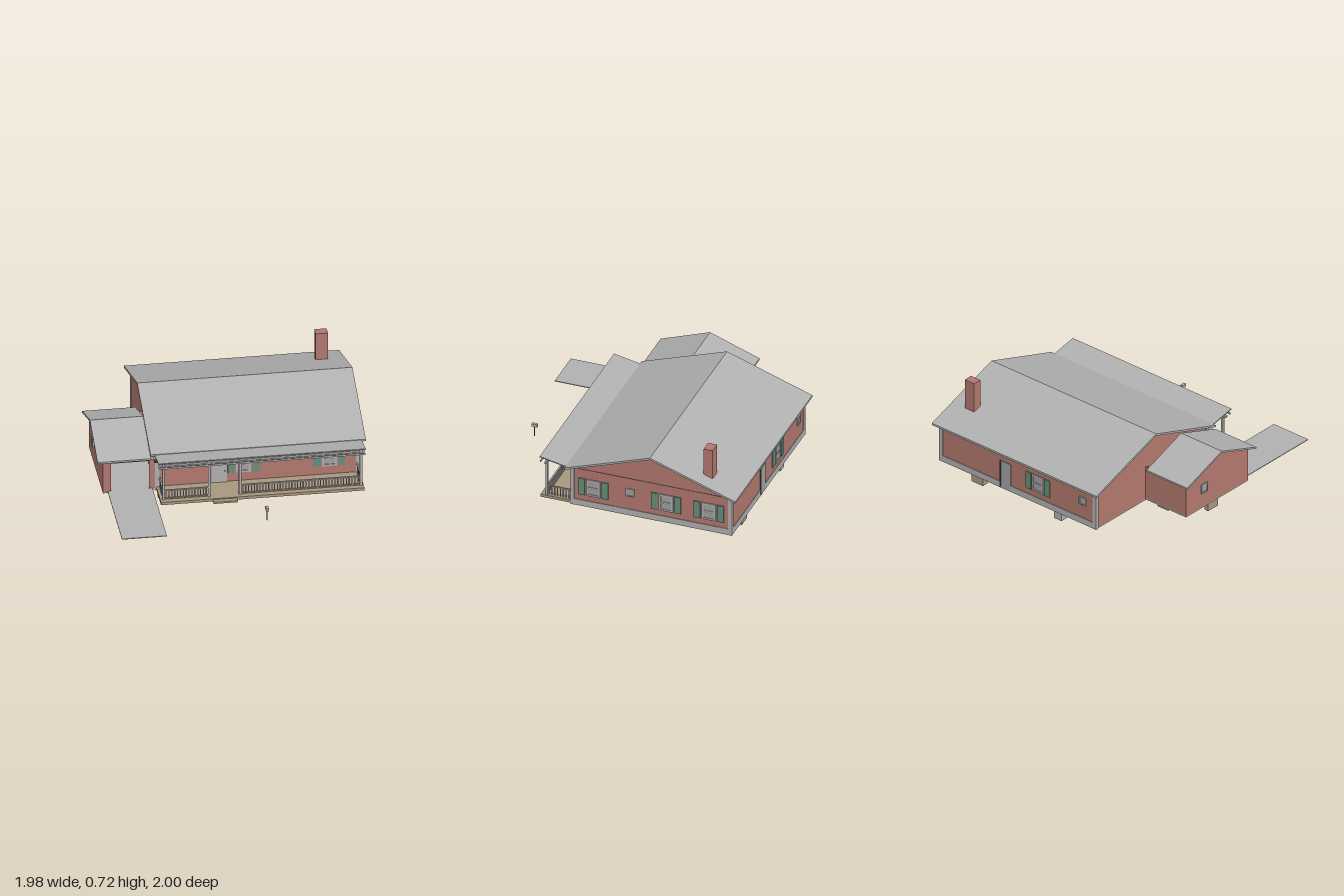
import * as THREE from 'three';

const mat = (name, color, side = THREE.FrontSide) => {
  const m = new THREE.MeshStandardMaterial({ color, side });
  m.name = name;
  return m;
};

export function createModel() {
  const house = new THREE.Group();
  house.name = 'house';
  const brick = mat('brick', 0xb2786e);
  const grey = mat('grey', 0xb0b0b0);
  const pane = mat('pane', 0xa2a2a2);
  const wood = mat('wood', 0xa8977e);
  const green = mat('green', 0x65907a);
  const dark = mat('dark', 0x4a4a4a);

  // box given by its limits on each axis
  const box = (name, m, x0, x1, y0, y1, z0, z1, parent = house) => {
    const mesh = new THREE.Mesh(new THREE.BoxGeometry(x1 - x0, y1 - y0, z1 - z0), m);
    mesh.position.set((x0 + x1) / 2, (y0 + y1) / 2, (z0 + z1) / 2);
    mesh.name = name;
    parent.add(mesh);
    return mesh;
  };
  // section drawn in (z, y), extruded along x
  const section = (name, m, pts, x0, x1) => {
    const shape = new THREE.Shape(pts.map(p => new THREE.Vector2(p[0], p[1])));
    const g = new THREE.ExtrudeGeometry(shape, { depth: x1 - x0, bevelEnabled: false });
    g.rotateY(-Math.PI / 2).translate(x1, 0, 0);
    const mesh = new THREE.Mesh(g, m);
    mesh.name = name;
    house.add(mesh);
  };
  const gableRoof = (name, x0, x1, zf, zr, zb, eave, ridge, t) => section(name, grey, [
    [zf, eave], [zr, ridge], [zb, eave], [zb, eave - t], [zr, ridge - t], [zf, eave - t]], x0, x1);

  // main body with gable ends
  section('mainWalls', brick, [[0.29, 0.095], [0.29, 0.4], [-0.335, 0.618], [-0.955, 0.4], [-0.955, 0.095]], -0.555, 0.945);
  box('mainFloor', grey, -0.555, 0.945, 0.088, 0.096, -0.955, 0.29);
  gableRoof('mainRoof', -0.6, 0.985, 0.33, -0.335, -1, 0.408, 0.637, 0.016);
  box('chimney', brick, 0.77, 0.86, 0.45, 0.725, -0.777, -0.707);

  // foundation band and corner boards
  box('rightBaseBand', grey, 0.94, 0.95, 0.09, 0.14, -0.958, 0.293);
  box('backBaseBand', grey, -0.558, 0.95, 0.09, 0.14, -0.96, -0.95);
  for (const z of [[0.268, 0.297], [-0.961, -0.932]]) {
    box('rightCornerBoard', grey, 0.918, 0.952, 0.09, 0.4, ...z);
    box('leftCornerBoard', grey, -0.562, -0.53, 0.09, 0.4, ...z);
  }
  box('gableLine', dark, 0.944, 0.9475, 0.4, 0.403, -0.95, 0.285);

  // garage with an open front
  section('garageGable', brick, [[0.29, 0.1], [0.29, 0.37], [-0.055, 0.498], [-0.4, 0.37], [-0.4, 0.1]], -0.945, -0.93);
  box('garageBackWall', brick, -0.945, -0.555, 0.1, 0.37, -0.4, -0.385);
  box('garageFrontLeft', brick, -0.605, -0.55, 0.1, 0.37, 0.275, 0.29);
  box('garageFrontRight', brick, -0.945, -0.885, 0.1, 0.37, 0.275, 0.29);
  box('garageHeader', brick, -0.885, -0.605, 0.335, 0.37, 0.275, 0.29);
  box('garageFloor', grey, -0.945, -0.555, 0.092, 0.104, -0.4, 0.29);
  gableRoof('garageRoof', -0.99, -0.598, 0.33, -0.055, -0.44, 0.376, 0.516, 0.014);
  box('garageFascia', grey, -0.945, -0.5, 0.357, 0.38, 0.29, 0.312);
  box('garageTrack', dark, -0.885, -0.605, 0.332, 0.338, 0.05, 0.285);
  box('workbench', wood, -0.8, -0.61, 0.104, 0.225, -0.38, -0.26);
  box('garageLamp', dark, -0.57, -0.55, 0.335, 0.345, 0.29, 0.325);
  box('driveway', grey, -0.91, -0.58, 0.1, 0.106, 0.29, 1);

  // window: frame, pane, sash bars and optional shutters, facing +z before turning
  const windowUnit = (x, y, z, turn, w = 0.11, h = 0.138, shutters = true) => {
    const g = new THREE.Group();
    g.name = 'window';
    g.position.set(x, y, z);
    g.rotation.y = turn;
    const a = w / 2, b = h / 2, f = w * 0.13;
    box('pane', pane, -a, a, -b, b, 0, 0.004, g);
    for (const s of [-1, 1]) {
      box('frameSide', grey, s * (a - f / 2) - f / 2, s * (a - f / 2) + f / 2, -b, b, 0, 0.009, g);
      box('frameRail', grey, -a, a, s * (b - f / 2) - f / 2, s * (b - f / 2) + f / 2, 0, 0.009, g);
      if (shutters) box('shutter', green, s * 0.091 - 0.025, s * 0.091 + 0.025, -b, b, 0, 0.009, g);
    }
    if (shutters) {
      box('sashBar', grey, -a, a, -0.006, 0.006, 0, 0.008, g);
      box('sashShadow', dark, -a + f, a - f, -0.009, -0.006, 0, 0.006, g);
    }
    house.add(g);
  };
  const R = Math.PI / 2;
  for (const x of [0.09, 0.722]) windowUnit(x, 0.257, 0.29, 0);
  for (const z of [0.12, -0.447, -0.78]) windowUnit(0.945, 0.256, z, R);
  windowUnit(0.945, 0.283, -0.167, R, 0.064, 0.064, false);
  windowUnit(0.0, 0.257, -0.955, 2 * R);
  windowUnit(-0.43, 0.283, -0.955, 2 * R, 0.064, 0.064, false);
  windowUnit(-0.945, 0.255, -0.2, -R, 0.07, 0.075, false);

  // doors
  box('frontDoor', grey, -0.145, -0.032, 0.11, 0.322, 0.285, 0.298);
  box('frontDoorKnob', dark, -0.05, -0.043, 0.205, 0.212, 0.298, 0.304);
  box('backDoor', pane, 0.26, 0.36, 0.1, 0.32, -0.962, -0.95);
  box('backDoorEdge', dark, 0.352, 0.362, 0.1, 0.32, -0.965, -0.95);

  // porch: deck, step, posts, railing and outward rising roof
  box('deck', wood, -0.553, 0.945, 0.096, 0.118, 0.29, 0.532);
  box('step', wood, -0.17, 0.01, 0.096, 0.11, 0.53, 0.57);
  section('porchRoof', grey, [[0.3, 0.398], [0.535, 0.445], [0.535, 0.437], [0.3, 0.39]], -0.572, 0.955);
  box('porchBeam', grey, -0.565, 0.952, 0.388, 0.401, 0.478, 0.5);
  box('gutter', grey, -0.565, 0.952, 0.394, 0.408, 0.528, 0.533);
  for (const x of [-0.53, -0.192, 0.035, 0.925]) box('porchPost', grey, x - 0.009, x + 0.009, 0.118, 0.42, 0.481, 0.498);
  const railing = (x0, x1) => {
    box('topRail', grey, x0, x1, 0.189, 0.197, 0.483, 0.495);
    box('bottomRail', wood, x0, x1, 0.122, 0.13, 0.483, 0.495);
    const n = Math.round((x1 - x0) / 0.021);
    for (let i = 1; i < n; i++) {
      const x = x0 + (x1 - x0) * i / n;
      box('baluster', grey, x - 0.004, x + 0.004, 0.128, 0.19, 0.486, 0.492);
    }
  };
  railing(-0.53, -0.192);
  railing(0.035, 0.925);
  for (const x of [-0.53, 0.925]) {
    box('sideRail', grey, x - 0.005, x + 0.005, 0.189, 0.197, 0.295, 0.49);
    for (let z = 0.315; z < 0.48; z += 0.022) box('sideBaluster', grey, x - 0.003, x + 0.003, 0.118, 0.19, z, z + 0.007);
  }

  // mailbox
  box('mailboxPost', dark, 0.176, 0.182, 0.1, 0.186, 0.866, 0.872);
  box('mailbox', grey, 0.168, 0.19, 0.183, 0.206, 0.845, 0.888);

  // furnishings reaching below the floor: [material, x, z, width, depth, bottom]
  const hung = [
    [wood, 0.607, -0.567, 0.115, 0.07, 0.004], [wood, 0.61, -0.9, 0.11, 0.06, 0.01],
    [wood, 0.63, -0.09, 0.09, 0.065, 0.015], [wood, 0.61, -0.33, 0.08, 0.06, 0.015],
    [wood, 0.79, 0.02, 0.06, 0.06, 0.063], [wood, 0.79, -0.65, 0.06, 0.05, 0.065],
    [wood, -0.473, 0.25, 0.125, 0.045, 0.01], [wood, -0.473, 0.015, 0.12, 0.09, 0.01],
    [wood, -0.03, -0.88, 0.3, 0.05, 0.063], [grey, -0.168, -0.9, 0.07, 0.06, 0.01],
    [grey, 0.17, -0.43, 0.07, 0.08, 0.063], [grey, -0.45, -0.49, 0.07, 0.09, 0.06],
    [grey, 0.88, -0.19, 0.08, 0.13, 0.075], [wood, 0.82, 0.13, 0.12, 0.1, 0.084],
    [wood, 0.77, -0.36, 0.14, 0.14, 0.084], [green, -0.18, -0.06, 0.12, 0.14, 0.082],
    [green, -0.3, -0.2, 0.08, 0.08, 0.082], [wood, -0.902, -0.07, 0.036, 0.11, 0.01],
    [wood, -0.7, -0.36, 0.1, 0.03, 0.06], [grey, -0.586, 0.0, 0.04, 0.09, 0.01],
  ];
  for (const [m, x, z, w, d, y] of hung) box('furnishing', m, x - w / 2, x + w / 2, y, 0.092, z - d / 2, z + d / 2);
  // table and chair legs
  for (let i = 0; i < 4; i++) for (let j = 0; j < 4; j++) {
    const x = -0.04 + i * 0.055, z = -0.67 + j * 0.055;
    box('chairLeg', dark, x, x + 0.007, 0.055, 0.092, z, z + 0.007);
  }
  for (const x of [-0.2, -0.02, 0.1]) box('tableLeg', dark, x, x + 0.007, 0.03, 0.092, -0.17, -0.163);
  for (const x of [-0.797, -0.61]) box('benchLeg', dark, x, x + 0.006, 0.01, 0.1, -0.3, -0.294);

  return house;
}
